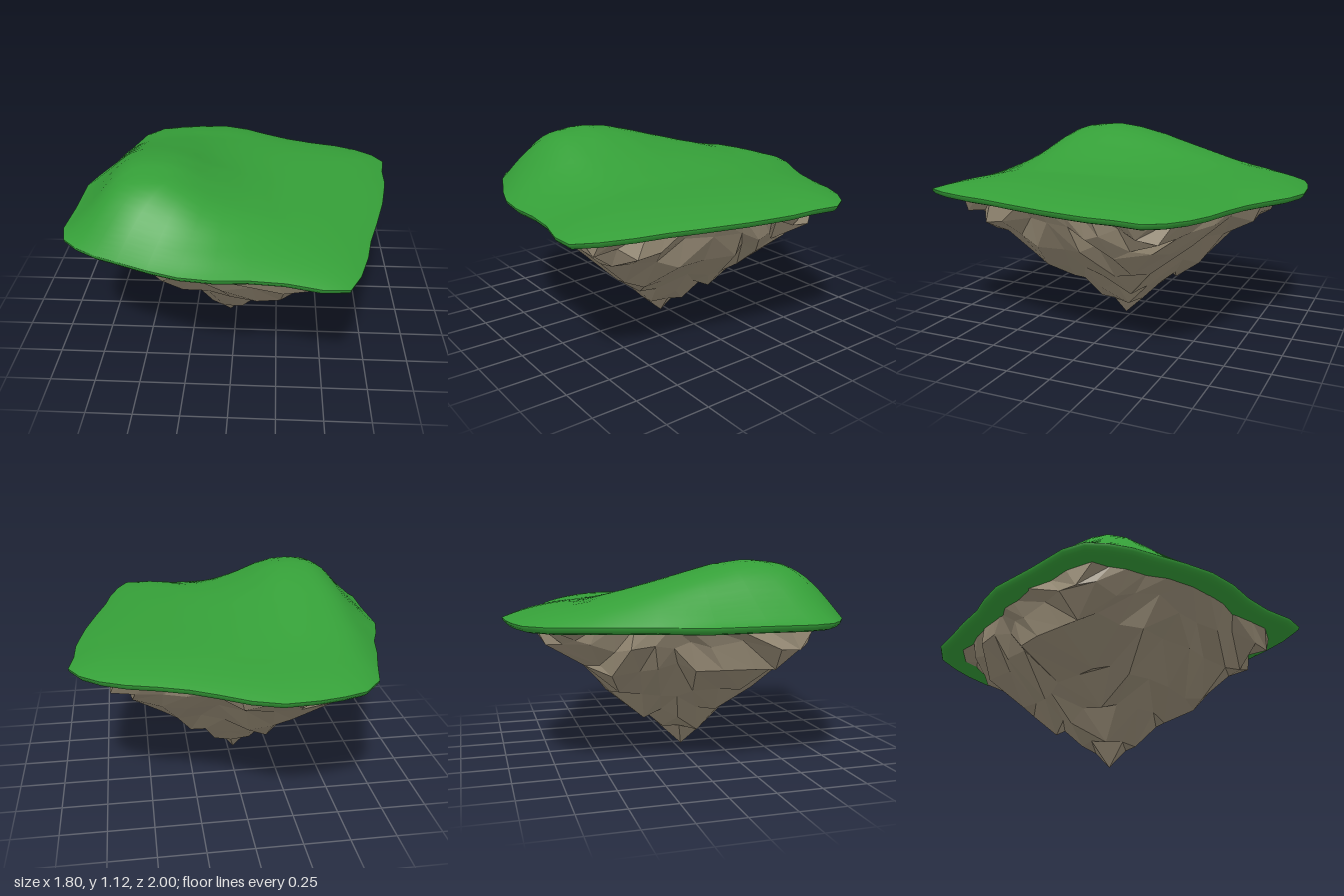
import * as THREE from 'three';
import { mergeVertices } from 'three/addons/utils/BufferGeometryUtils.js';

// Island outline seen from above, as [x, z], clockwise from the back
const OUTLINE = [
  [-0.13, -1], [0.02, -0.95], [0.17, -0.86], [0.3, -0.79], [0.45, -0.735], [0.61, -0.69],
  [0.74, -0.63], [0.84, -0.55], [0.9, -0.45], [0.878, -0.3], [0.875, -0.15], [0.86, -0.05],
  [0.83, 0.12], [0.77, 0.36], [0.72, 0.54], [0.69, 0.7], [0.64, 0.87], [0.58, 0.99],
  [0.45, 0.995], [0.28, 0.95], [0.1, 0.935], [-0.07, 0.945], [-0.24, 0.925], [-0.4, 0.87],
  [-0.56, 0.8], [-0.68, 0.75], [-0.79, 0.68], [-0.87, 0.6], [-0.9, 0.48], [-0.887, 0.25],
  [-0.885, -0.03], [-0.84, -0.18], [-0.79, -0.3], [-0.75, -0.47], [-0.7, -0.63], [-0.65, -0.81],
  [-0.55, -0.925], [-0.43, -0.965], [-0.3, -0.99],
];
const COUNT = OUTLINE.length;
const curve = new THREE.CatmullRomCurve3(OUTLINE.map(([x, z]) => new THREE.Vector3(x, 0, z)), true);

// Hill strength across x and along z
const HILL_X = [[-0.9, 0], [-0.75, 0.37], [-0.63, 0.84], [-0.54, 1], [-0.38, 1.01], [-0.27, 0.91],
  [-0.13, 0.6], [0.05, 0.3], [0.25, 0.08], [0.6, 0.02], [0.9, 0]];
const HILL_Z = [[-1, 0], [-0.6, 0.12], [-0.4, 0.32], [-0.1, 0.66], [0.1, 0.9], [0.3, 1],
  [0.5, 0.93], [0.6, 0.72], [0.75, 0.3], [0.9, 0.05], [1, 0]];

function lookup(table, t) {
  for (let i = 1; i < table.length; i++) {
    const [a, va] = table[i - 1];
    const [b, vb] = table[i];
    if (t <= b) return THREE.MathUtils.lerp(va, vb, Math.max(0, (t - a) / (b - a)));
  }
  return 0;
}
const smoothLookup = (table, t) =>
  (lookup(table, t - 0.04) + 2 * lookup(table, t) + lookup(table, t + 0.04)) / 4;

function seeded(seed) {
  return () => {
    seed = (seed * 16807) % 2147483647;
    return seed / 2147483647;
  };
}

function buildGeometry(points, index) {
  let geometry = new THREE.BufferGeometry().setFromPoints(points);
  geometry.setIndex(index);
  geometry = mergeVertices(geometry);
  geometry.computeVertexNormals();
  return geometry;
}

// Grass blanket: domed top with one hill, rounded rim, tucked underside
function grassGeometry() {
  const edge = OUTLINE.map(([x, z]) => new THREE.Vector3(x, 0, z));
  const points = [];
  const steps = 24;
  for (let k = 0; k <= steps; k++) {
    const s = Math.sin((k / steps) * Math.PI / 2);
    for (const p of edge) {
      const x = p.x * s, z = p.z * s;
      const hill = 0.24 * smoothLookup(HILL_X, x) * smoothLookup(HILL_Z, z) * (1 - s ** 16);
      points.push(new THREE.Vector3(x, 0.815 + 0.07 * (1 - s ** 5) + hill, z));
    }
  }
  for (const [s, y] of [[0.995, 0.8], [0.98, 0.785], [0.95, 0.776], [0.9, 0.782], [0.8, 0.79]]) {
    for (const p of edge) points.push(new THREE.Vector3(p.x * s, y, p.z * s));
  }
  const index = [];
  for (let r = 0; r < points.length / COUNT - 1; r++) {
    for (let i = 0; i < COUNT; i++) {
      const a = r * COUNT + i, b = r * COUNT + (i + 1) % COUNT;
      index.push(a, b + COUNT, a + COUNT, a, b, b + COUNT);
    }
  }
  return buildGeometry(points, index);
}

// Outline point for a direction on the unit square; the square's corners
// land on the outline's four corners (positions along OUTLINE)
function squareToOutline(u, v) {
  const sides = [[-3.5, 8, u], [8, 17, v], [17, 27.5, -u], [27.5, 35.5, -v]];
  let side = 3;
  if (v <= -1) side = 0;
  else if (u >= 1) side = 1;
  else if (v >= 1) side = 2;
  const [from, to, t] = sides[side];
  const at = THREE.MathUtils.lerp(from, to, (t + 1) / 2);
  return curve.getPoint(((at + COUNT) % COUNT) / COUNT);
}

// Rock: a square sheet of facets pulled down to an off-centre tip.
// Each level, from the tip up: [height, x scale, z scale]
const LEVELS = [[0, 0, 0], [0.12, 0.13, 0.14], [0.25, 0.28, 0.29], [0.39, 0.47, 0.46],
  [0.56, 0.71, 0.64], [0.69, 0.82, 0.79], [0.8, 0.87, 0.87]];

function rockGeometry() {
  const rand = seeded(90217);
  const half = LEVELS.length - 1;
  const width = 2 * half + 1;
  const points = [];
  for (let j = -half; j <= half; j++) {
    for (let i = -half; i <= half; i++) {
      const level = Math.max(Math.abs(i), Math.abs(j));
      const [y, sx, sz] = LEVELS[level];
      const p = squareToOutline(i / (level || 1), j / (level || 1));
      const inner = level > 0 && level < half;
      const rough = 1 + (rand() - 0.5) * (inner ? 0.13 : 0.05);
      const lift = inner ? (rand() - 0.5) * 0.07 : 0;
      const depth = 1 - y / 0.8;
      points.push(new THREE.Vector3(
        p.x * sx * rough - 0.035 * depth,
        y + lift,
        p.z * sz * rough + 0.04 * depth,
      ));
    }
  }
  const index = [];
  for (let j = 0; j < width - 1; j++) {
    for (let i = 0; i < width - 1; i++) {
      const a = j * width + i, b = a + 1, c = b + width, d = a + width;
      // Split each facet along the diagonal that runs around the tip
      if ((i < half) === (j < half)) index.push(a, b, d, b, c, d);
      else index.push(a, b, c, a, c, d);
    }
  }
  return buildGeometry(points, index);
}

export function createModel() {
  const island = new THREE.Group();
  island.name = 'floatingIsland';

  const grass = new THREE.Mesh(grassGeometry(),
    new THREE.MeshStandardMaterial({ color: 0x359f38, side: THREE.DoubleSide }));
  grass.name = 'grassTop';

  const rock = new THREE.Mesh(rockGeometry(),
    new THREE.MeshStandardMaterial({ color: 0x9a8e78, flatShading: true, side: THREE.DoubleSide }));
  rock.name = 'rockBase';

  island.add(grass, rock);
  return island;
}
